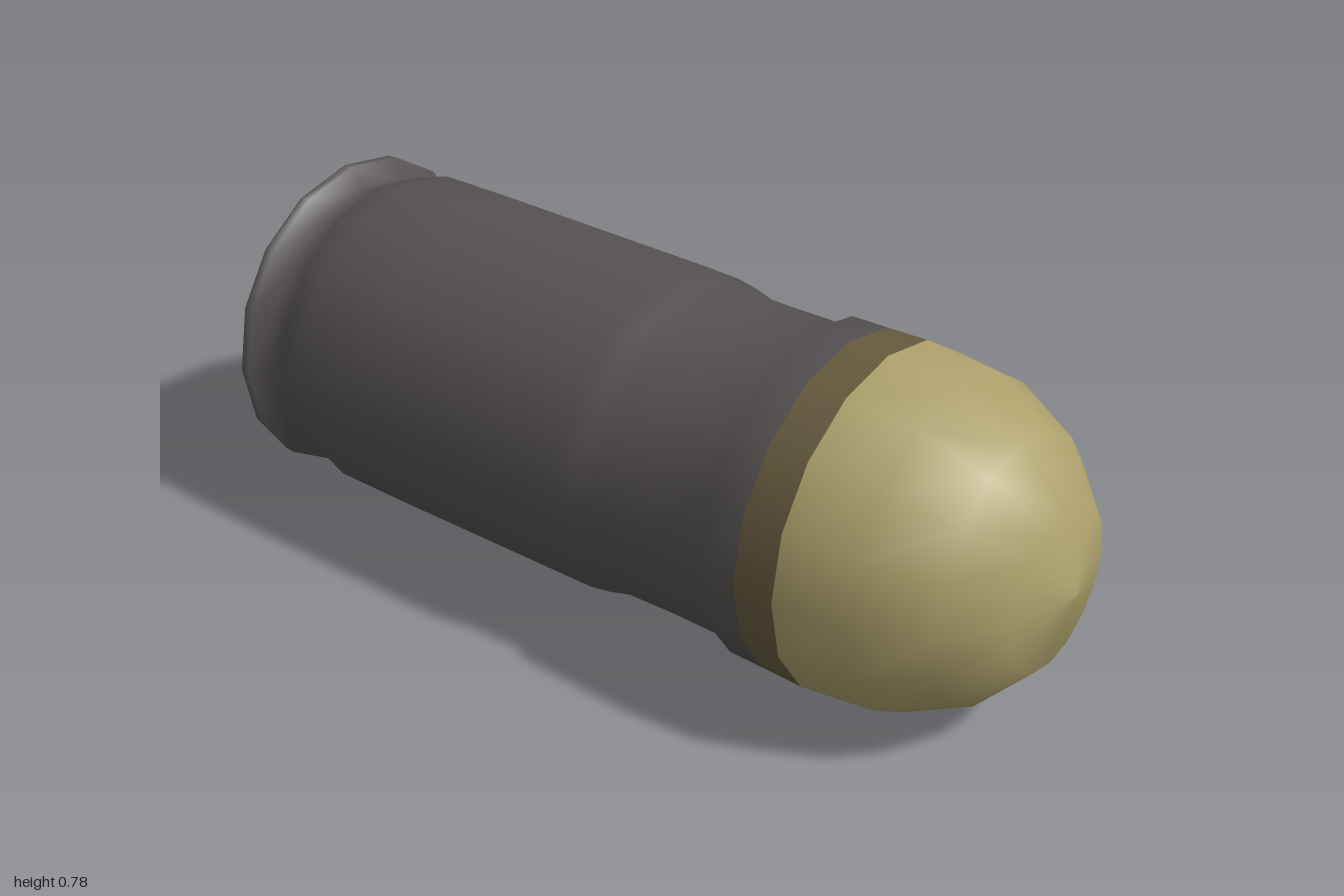
import * as THREE from 'three';

const AXIS_Y = 0.394;
const SIDES = 16;

// Revolves a [radius, z] profile, listed back to front, around the long axis
function turned(name, material, profile) {
  const points = profile.map(([r, z]) => new THREE.Vector2(r, z));
  const geometry = new THREE.LatheGeometry(points, SIDES);
  geometry.rotateX(Math.PI / 2);
  const mesh = new THREE.Mesh(geometry, material);
  mesh.name = name;
  mesh.position.y = AXIS_Y;
  return mesh;
}

function paint(name, color) {
  const material = new THREE.MeshStandardMaterial({ color });
  material.name = name;
  return material;
}

export function createModel() {
  const steel = paint('dark steel', 0x575252);
  const brass = paint('pale brass', 0xaca06b);
  const bronze = paint('dark bronze', 0x675c3f);

  const group = new THREE.Group();
  group.name = 'cartridge';

  // Casing: flared rim, extractor groove, long body, narrowed waist, collar
  group.add(turned('casing', steel, [
    [0.38, -0.99], [0.382, -0.965], [0.332, -0.94], [0.355, -0.88],
    [0.38, -0.8], [0.382, -0.6], [0.382, -0.04], [0.375, 0.01], [0.363, 0.06],
    [0.361, 0.18], [0.363, 0.31], [0.386, 0.345], [0.388, 0.433],
  ]));

  // Driving band and rounded nose
  group.add(turned('band', bronze, [[0.388, 0.433], [0.391, 0.53]]));
  group.add(turned('nose', brass, [
    [0.391, 0.53], [0.375, 0.7], [0.3, 0.85], [0.183, 0.957], [0, 1],
  ]));

  // Base: concentric primer rings from the centre out to the rim
  const rings = [
    ['primer', steel, 0, 0.06],
    ['primerEdge', bronze, 0.06, 0.092],
    ['primerRing', brass, 0.092, 0.188],
    ['primerRingEdge', bronze, 0.188, 0.226],
    ['basePlate', steel, 0.226, 0.37],
  ];
  for (const [name, material, inner, outer] of rings) {
    group.add(turned(name, material, [[inner, -1], [outer, -1]]));
  }
  group.add(turned('rimBevel', steel, [[0.37, -1], [0.38, -0.99]]));

  return group;
}
